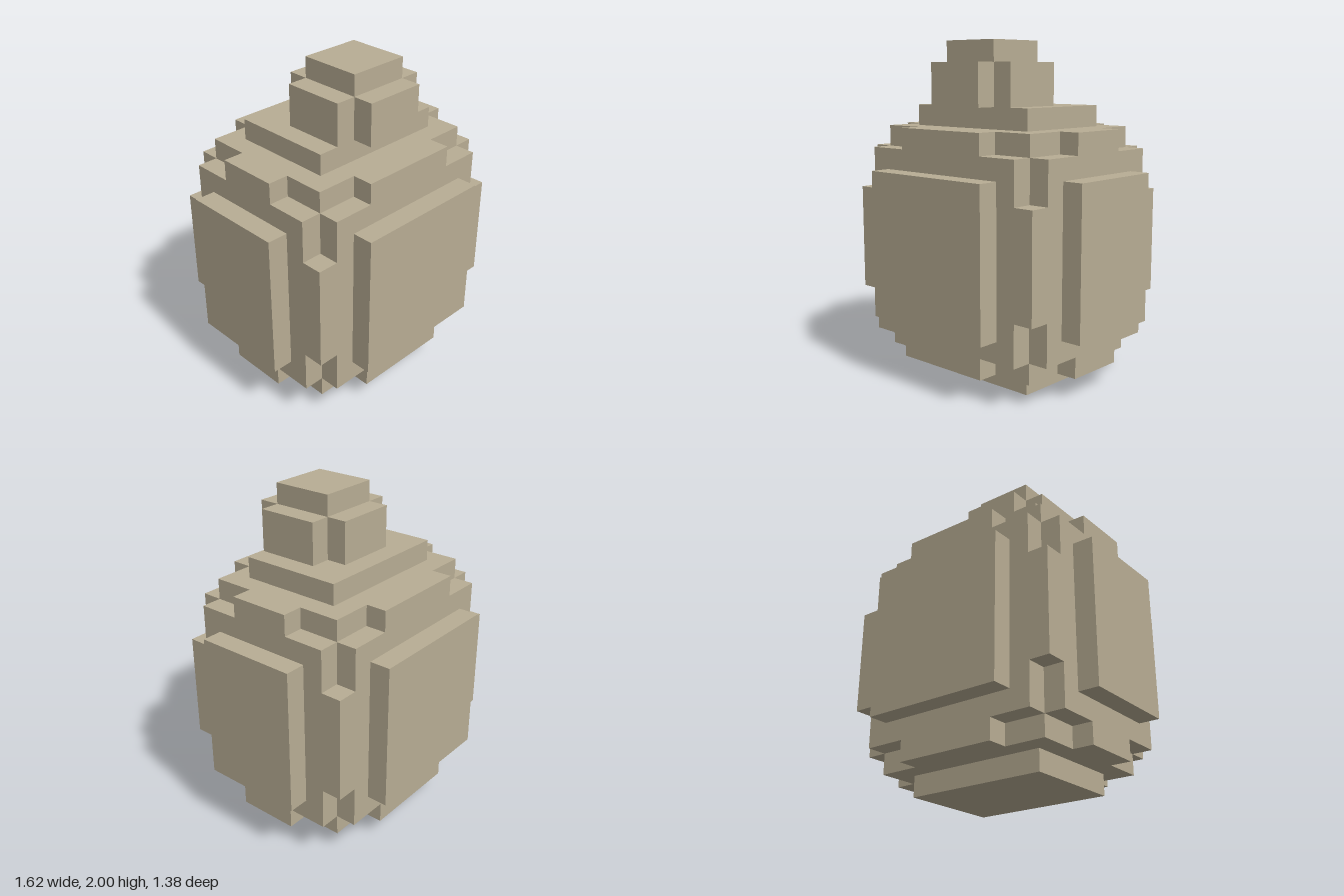
import * as THREE from 'three';

const UNIT = 1 / 16;

// Box as [min, max] corners, in sixteenths
const box = (x0, x1, y0, y1, z0, z1) => [[x0, y0, z0], [x1, y1, z1]];
// Box symmetric in x and z
const mid = (x, y0, y1, z) => box(-x, x, y0, y1, -z, z);

const parts = {
  // Block whose edges are notched near every corner
  body: [
    mid(11, 4, 22, 7), mid(9, 2, 24, 7), mid(9, 4, 22, 9), // faces
    mid(5, 2, 24, 9), mid(11, 8, 18, 9), mid(11, 2, 24, 3), // edge middles
  ],
  frontPanel: [box(-7, 7, 6, 20, 9, 11)],
  backPanel: [box(-7, 7, 6, 20, -11, -9)],
  leftPanel: [box(11, 13, 6, 20, -5, 5)],
  rightPanel: [box(-13, -11, 6, 20, -5, 5)],
  base: [mid(7, 0, 2, 5)],
  collar: [mid(7, 24, 26, 5)],
  // Cross-shaped knob, set towards the front
  knob: [box(-3, 3, 26, 30, -3, 7), box(-5, 5, 26, 30, -1, 5)],
  tip: [box(-3, 3, 30, 32, -1, 5)],
};

const allBoxes = Object.values(parts).flat();
const inside = (boxes, p) => boxes.some(([a, b]) => p.every((v, i) => v > a[i] && v < b[i]));

// Joins boxes into one skin, leaving out every face buried in the model
function skin(boxes) {
  const cuts = [0, 1, 2].map((i) =>
    [...new Set(allBoxes.flatMap(([a, b]) => [a[i], b[i]]))].sort((m, n) => m - n));
  const positions = [];
  const normals = [];
  for (let i = 0; i < cuts[0].length - 1; i++)
    for (let j = 0; j < cuts[1].length - 1; j++)
      for (let k = 0; k < cuts[2].length - 1; k++) {
        const cell = [i, j, k];
        const lo = cell.map((c, a) => cuts[a][c]);
        const hi = cell.map((c, a) => cuts[a][c + 1]);
        const centre = lo.map((v, a) => (v + hi[a]) / 2);
        if (!inside(boxes, centre)) continue;
        for (let a = 0; a < 3; a++)
          for (const s of [-1, 1]) {
            const next = [...centre];
            next[a] = s > 0 ? hi[a] + 0.5 : lo[a] - 0.5;
            if (inside(allBoxes, next)) continue;
            const u = (a + 1) % 3, v = (a + 2) % 3;
            const corner = (cu, cv) => {
              const p = [];
              p[a] = s > 0 ? hi[a] : lo[a];
              p[u] = cu ? hi[u] : lo[u];
              p[v] = cv ? hi[v] : lo[v];
              return p.map((n) => n * UNIT);
            };
            const q = [corner(0, 0), corner(1, 0), corner(1, 1), corner(0, 1)];
            if (s < 0) q.reverse();
            const normal = [0, 0, 0];
            normal[a] = s;
            for (const n of [0, 1, 2, 0, 2, 3]) {
              positions.push(...q[n]);
              normals.push(...normal);
            }
          }
      }
  const geometry = new THREE.BufferGeometry();
  geometry.setAttribute('position', new THREE.Float32BufferAttribute(positions, 3));
  geometry.setAttribute('normal', new THREE.Float32BufferAttribute(normals, 3));
  return geometry;
}

export function createModel() {
  const stone = new THREE.MeshStandardMaterial({ color: 0xb8ad94 });
  stone.name = 'stone';
  const model = new THREE.Group();
  model.name = 'blockUrn';
  for (const [name, boxes] of Object.entries(parts)) {
    const mesh = new THREE.Mesh(skin(boxes), stone);
    mesh.name = name;
    model.add(mesh);
  }
  return model;
}
